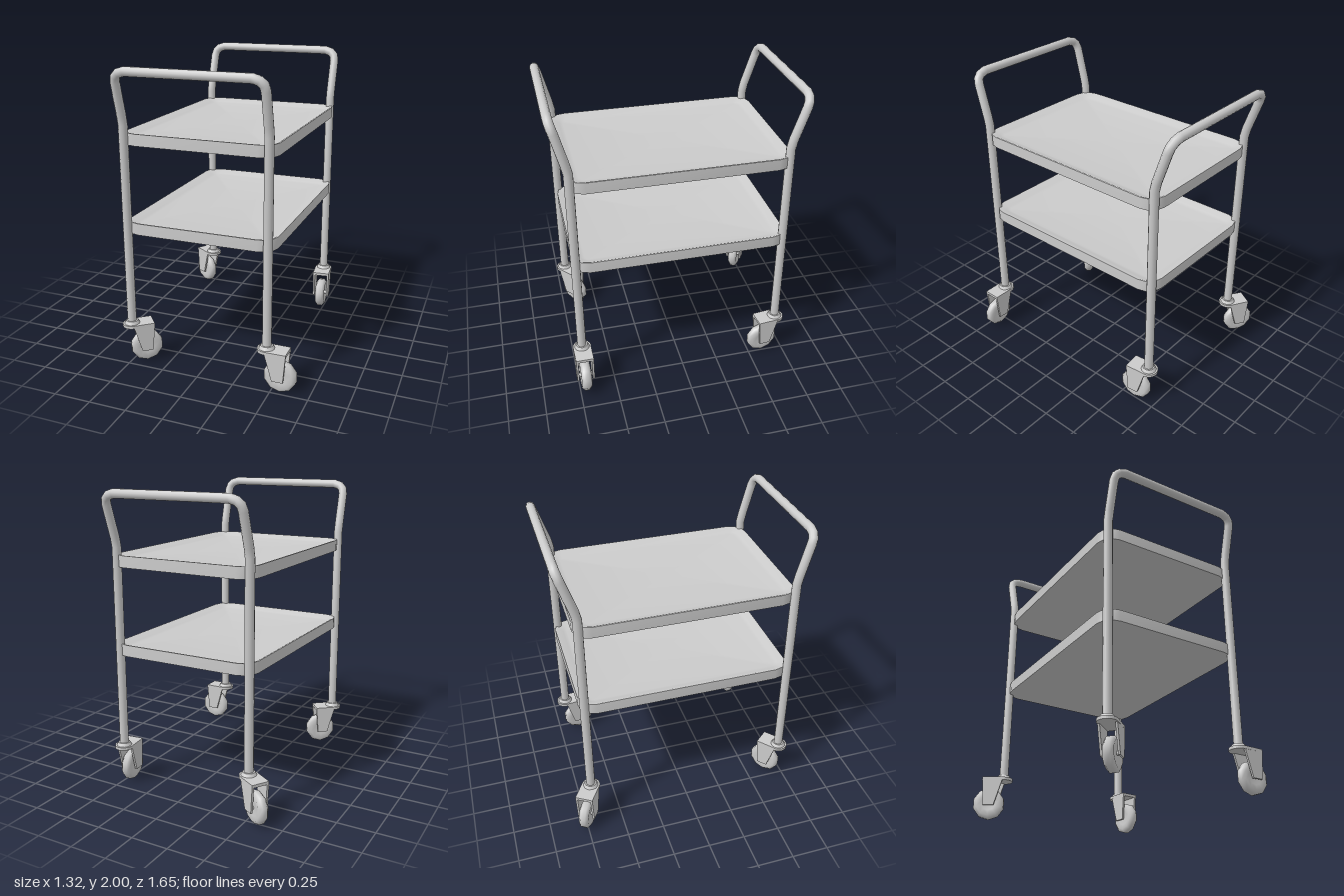
import * as THREE from 'three';
import { toCreasedNormals } from 'three/addons/utils/BufferGeometryUtils.js';

const grey = new THREE.MeshStandardMaterial({ color: 0xcccccc });
const CX = -0.012, HALF = 0.476; // post centre line and half spacing

function add(parent, name, geometry, x = 0, y = 0, z = 0) {
  const mesh = new THREE.Mesh(geometry, grey);
  mesh.name = name;
  mesh.position.set(x, y, z);
  parent.add(mesh);
  return mesh;
}

// Straight-segment path with one tube ring at every corner
class BentPath extends THREE.Curve {
  constructor(points) {
    super();
    this.points = points;
  }
  index(u) {
    return Math.round(u * (this.points.length - 1));
  }
  getPoint(u, target = new THREE.Vector3()) {
    return target.copy(this.points[this.index(u)]);
  }
  getPointAt(u, target) {
    return this.getPoint(u, target);
  }
  getTangentAt(u, target = new THREE.Vector3()) {
    const p = this.points, i = this.index(u);
    const dir = (k) => p[k + 1].clone().sub(p[k]).normalize();
    const before = dir(Math.max(i - 1, 0));
    const after = dir(Math.min(i, p.length - 2));
    return target.copy(before.add(after).normalize());
  }
}

// Two posts and the handle bar between them, bent from one tube
function frameTube(postZ, side) {
  const half = [
    [HALF, 0.28, postZ], [HALF, 1.63, postZ], [HALF, 1.69, postZ + 0.013],
    [HALF, 1.9, 0.773], [HALF - 0.008, 1.935, 0.784],
    [HALF - 0.032, 1.958, 0.791], [HALF - 0.075, 1.971, 0.794],
  ];
  const points = [
    ...half.map(([x, y, z]) => new THREE.Vector3(CX - x, y, side * z)),
    ...half.slice().reverse().map(([x, y, z]) => new THREE.Vector3(CX + x, y, side * z)),
  ];
  return new THREE.TubeGeometry(new BentPath(points), points.length - 1, 0.03, 12, false);
}

// Rounded rectangle outline, inset from the tray edge
function outline(inset, y) {
  const r = 0.105 - inset, w = 0.505 - inset - r, d = 0.717 - inset - r;
  const ring = [];
  for (let corner = 0; corner < 4; corner++) {
    const sx = corner === 0 || corner === 3 ? 1 : -1, sz = corner < 2 ? 1 : -1;
    for (let k = 0; k <= 3; k++) {
      const a = (corner + k / 3) * Math.PI / 2;
      ring.push([sx * w + r * Math.cos(a), y, sz * d + r * Math.sin(a)]);
    }
  }
  return ring;
}

// Tray skin: flat underside, upright wall, sloping inner lip, floor
function trayGeometry(height) {
  const centre = (y) => outline(0, y).map(() => [0, y, 0]);
  const floor = height - 0.026;
  const rings = [
    centre(0), outline(0, 0), outline(0, height), outline(0.01, height),
    outline(0.055, floor + 0.004), outline(0.08, floor), centre(floor),
  ];
  const pos = [];
  for (let i = 0; i < rings.length - 1; i++) {
    const low = rings[i], up = rings[i + 1], n = low.length;
    for (let j = 0; j < n; j++) {
      const k = (j + 1) % n;
      if (i < rings.length - 1 && i > 0) pos.push(...low[j], ...up[j], ...low[k]);
      if (i < rings.length - 2) pos.push(...low[k], ...up[j], ...up[k]);
    }
  }
  const geo = new THREE.BufferGeometry();
  geo.setAttribute('position', new THREE.Float32BufferAttribute(pos, 3));
  return toCreasedNormals(geo, 0.7);
}

// Swivel castor; the wheel trails along local +x
function castor(name, x, z, dx, dz) {
  const group = new THREE.Group();
  group.name = name;
  group.position.set(x, 0, z);
  group.rotation.y = Math.atan2(-dz, dx);

  // Swivel collar under the post
  add(group, 'collar', new THREE.CylinderGeometry(0.04, 0.053, 0.024, 12), 0, 0.294, 0);

  // Top plate, rounded around the pivot
  const plate = new THREE.Shape();
  plate.moveTo(0.14, -0.06);
  plate.lineTo(0.14, 0.06);
  plate.lineTo(0, 0.06);
  plate.absarc(0, 0, 0.062, Math.PI / 2, Math.PI * 1.5, false);
  const plateGeo = new THREE.ExtrudeGeometry(plate, { depth: 0.02, bevelEnabled: false, curveSegments: 8 });
  plateGeo.rotateX(-Math.PI / 2);
  add(group, 'forkPlate', plateGeo, 0, 0.265, 0);

  // Tapered fork sides
  const cheek = new THREE.Shape([
    new THREE.Vector2(0, 0.27), new THREE.Vector2(0.052, 0.09),
    new THREE.Vector2(0.125, 0.09), new THREE.Vector2(0.14, 0.27),
  ]);
  const cheekGeo = new THREE.ExtrudeGeometry(cheek, { depth: 0.014, bevelEnabled: false });
  for (const [label, offset] of [['forkSideA', -0.06], ['forkSideB', 0.046]]) {
    add(group, label, cheekGeo, 0, 0, offset);
  }

  // Wheel with rounded tread, and axle
  const profile = [[0, -0.026], [0.05, -0.028], [0.085, -0.035], [0.108, -0.016],
    [0.108, 0.016], [0.085, 0.035], [0.05, 0.028], [0, 0.026]];
  const wheel = new THREE.LatheGeometry(profile.map(([r, h]) => new THREE.Vector2(r, h)), 10);
  wheel.rotateX(Math.PI / 2);
  add(group, 'wheel', wheel, 0.093, 0.108, 0);
  const axle = new THREE.CylinderGeometry(0.014, 0.014, 0.11, 8);
  axle.rotateX(Math.PI / 2);
  add(group, 'axle', axle, 0.093, 0.112, 0);
  return group;
}

export function createModel() {
  const model = new THREE.Group();
  model.name = 'serviceTrolley';

  add(model, 'frontFrame', frameTube(0.705, 1));
  add(model, 'backFrame', frameTube(0.69, -1));

  const tray = trayGeometry(0.076);
  add(model, 'upperTray', tray, -0.005, 1.504, 0);
  add(model, 'lowerTray', tray, -0.005, 0.922, 0);

  // Castors swivelled in different directions
  model.add(
    castor('frontLeftCastor', CX + HALF, 0.705, 1, 0),
    castor('frontRightCastor', CX - HALF, 0.705, 0.77, -0.64),
    castor('backLeftCastor', CX + HALF, -0.69, 0.1, 1),
    castor('backRightCastor', CX - HALF, -0.69, -0.85, -0.53),
  );
  return model;
}
